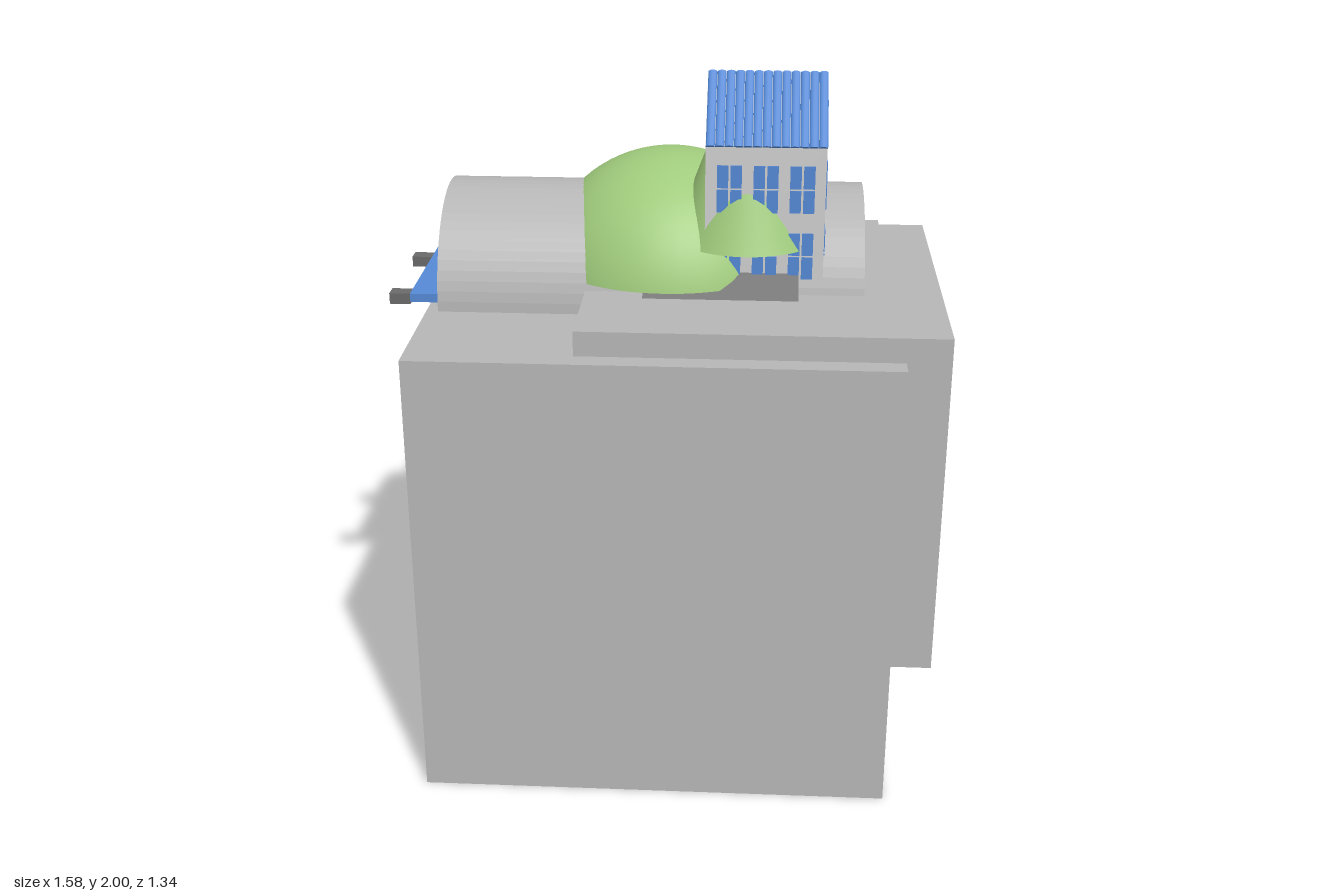
import * as THREE from 'three';

const mat = (name, color) => {
  const m = new THREE.MeshStandardMaterial({ color });
  m.name = name;
  return m;
};

export function createModel() {
  const stone = mat('stone grey', 0xb6b6b6);
  const wall = mat('wall grey', 0xcfcfcf);
  const dark = mat('dark grey', 0x6a6a6a);
  const blue = mat('blue', 0x5589d6);
  const green = mat('leaf green', 0xa0cb7c);
  green.side = THREE.DoubleSide;

  const model = new THREE.Group();
  const add = (parent, name, geometry, material) => {
    const mesh = new THREE.Mesh(geometry, material);
    mesh.name = name;
    parent.add(mesh);
    return mesh;
  };
  // Box given by its lower and upper bounds on each axis
  const box = (parent, name, material, [x0, x1], [y0, y1], [z0, z1]) =>
    add(parent, name, new THREE.BoxGeometry(x1 - x0, y1 - y0, z1 - z0), material)
      .position.set((x0 + x1) / 2, (y0 + y1) / 2, (z0 + z1) / 2);
  // Cross-section drawn in (-z, y), swept along x
  const sweepX = (shape, x0, x1, segments = 1) => new THREE.ExtrudeGeometry(shape,
    { depth: x1 - x0, bevelEnabled: false, curveSegments: segments })
    .rotateY(Math.PI / 2).translate(x0, 0, 0);
  const section = (points) => new THREE.Shape(points.map(([z, y]) => new THREE.Vector2(-z, y)));

  // Base blocks
  box(model, 'largeBlock', stone, [-0.67, 0.665], [0, 1.34], [-0.67, 0.665]);
  box(model, 'offsetBlock', stone, [-0.215, 0.785], [0.41, 1.41], [-0.395, 0.605]);

  // Half-round vault
  const arch = new THREE.Shape();
  arch.absarc(0.01, 1.342, 0.302, 0, Math.PI, false);
  add(model, 'vault', sweepX(arch, -0.635, 0.567, 16), stone);

  // Sloped footing across the vault, and the low slab behind it
  add(model, 'footing', sweepX(section([[0.338, 1.41], [0.25, 1.49], [-0.27, 1.49], [-0.365, 1.41]]), -0.05, 0.383), dark);
  box(model, 'backSlab', dark, [-0.42, 0.383], [1.35, 1.39], [-0.408, -0.28]);

  // Hanging bench with two prongs
  box(model, 'bench', blue, [-0.73, -0.6], [1.341, 1.366], [-0.25, 0.215]);
  for (const z of [-0.165, 0.17])
    box(model, 'prong', dark, [-0.79, -0.73], [1.334, 1.366], [z, z + 0.045]);

  // Large dome: a sphere cap
  const R = 0.394;
  add(model, 'dome', new THREE.SphereGeometry(R, 48, 20, 0, Math.PI * 2, 0, Math.acos(0.084 / R)), green)
    .position.set(0.01, 1.345, -0.035);

  // Small tapering mound around the house
  const mound = [[0.213, 1.535], [0.19, 1.59], [0.16, 1.67], [0.115, 1.79], [0.08, 1.86], [0, 1.92]]
    .map(([r, y]) => new THREE.Vector2(r, y));
  add(model, 'mound', new THREE.LatheGeometry(mound, 40), green).position.set(0.235, 0, 0.123);

  // House body with gables
  const house = new THREE.Group();
  house.name = 'house';
  model.add(house);
  add(house, 'walls', sweepX(section([[0.273, 1.43], [0.273, 1.83], [0.105, 1.993], [-0.062, 1.83], [-0.062, 1.43]]), 0.12, 0.45), wall);

  // Ribbed roof
  const ribs = 13, pitch = 0.332 / ribs;
  const ribGeometry = new THREE.CylinderGeometry(pitch / 2, pitch / 2, 0.238, 10).scale(1, 1, 0.5);
  for (const side of [1, -1])
    for (let i = 0; i < ribs; i++) {
      const rib = add(house, 'roofRib', ribGeometry, blue);
      rib.position.set(0.12 + pitch * (i + 0.5), 1.912, 0.105 + side * 0.085);
      rib.rotation.x = -side * Math.PI / 4;
    }

  // Four-pane window, made for a wall facing +z
  const paneGeometry = new THREE.BoxGeometry(0.031, 1, 0.006);
  const addWindow = (x, y, z, turn, height) => {
    const win = new THREE.Group();
    win.name = 'window';
    win.position.set(x, y, z);
    win.rotation.y = turn;
    house.add(win);
    for (const sx of [-1, 1])
      for (const sy of [-1, 1]) {
        const pane = add(win, 'pane', paneGeometry, blue);
        pane.scale.y = height / 2 - 0.005;
        pane.position.set(sx * 0.0185, sy * height / 4, 0);
      }
  };
  for (const y of [1.71, 1.52])
    for (const i of [-1, 0, 1]) {
      addWindow(0.286 + i * 0.1, y, 0.274, 0, 0.137);
      addWindow(0.451, y, 0.107 + i * 0.098, Math.PI / 2, 0.137);
    }
  addWindow(0.451, 1.877, 0.105, Math.PI / 2, 0.1);

  return model;
}
